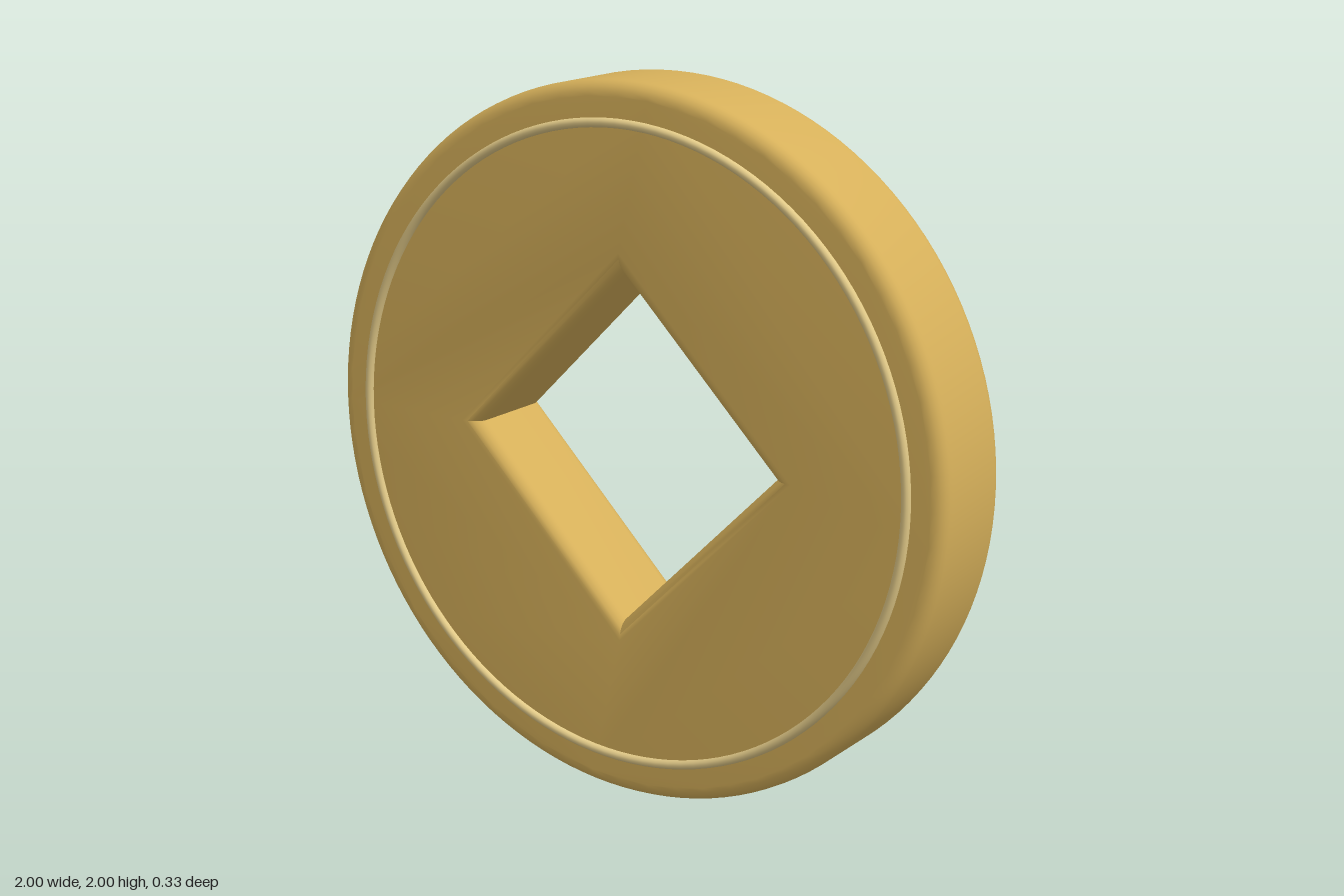
import * as THREE from 'three';
import { toCreasedNormals } from 'three/addons/utils/BufferGeometryUtils.js';

const HALF_DEPTH = 0.15;
const BEVEL = 0.04;
const HOLE = 0.49; // centre to corner of the diamond opening

export function createModel() {
  const group = new THREE.Group();
  group.name = 'coin';
  const gold = new THREE.MeshStandardMaterial({ color: 0xd6b05a });
  const paleGold = new THREE.MeshStandardMaterial({ color: 0xe2ca88 });

  // Thick round disc with a diamond opening, rounded on every rim
  const outline = new THREE.Shape().absarc(0, 0, 1, 0, Math.PI * 2, false);
  const opening = new THREE.Path();
  opening.moveTo(HOLE, 0);
  opening.lineTo(0, -HOLE);
  opening.lineTo(-HOLE, 0);
  opening.lineTo(0, HOLE);
  opening.closePath();
  outline.holes.push(opening);

  const depth = 2 * (HALF_DEPTH - BEVEL);
  const discGeometry = new THREE.ExtrudeGeometry(outline, {
    depth,
    curveSegments: 64,
    bevelEnabled: true,
    bevelThickness: BEVEL,
    bevelSize: BEVEL,
    bevelOffset: -BEVEL,
    bevelSegments: 5,
  });
  discGeometry.translate(0, 0, -depth / 2);
  const disc = new THREE.Mesh(toCreasedNormals(discGeometry, 0.6), gold);
  disc.name = 'disc';
  disc.position.y = 1;
  group.add(disc);

  // Thin raised ring on each face
  const ringGeometry = new THREE.TorusGeometry(0.89, 0.013, 12, 128);
  for (const side of [1, -1]) {
    const ring = new THREE.Mesh(ringGeometry, paleGold);
    ring.name = side > 0 ? 'frontRing' : 'backRing';
    ring.position.set(0, 1, side * 0.152);
    group.add(ring);
  }

  return group;
}
